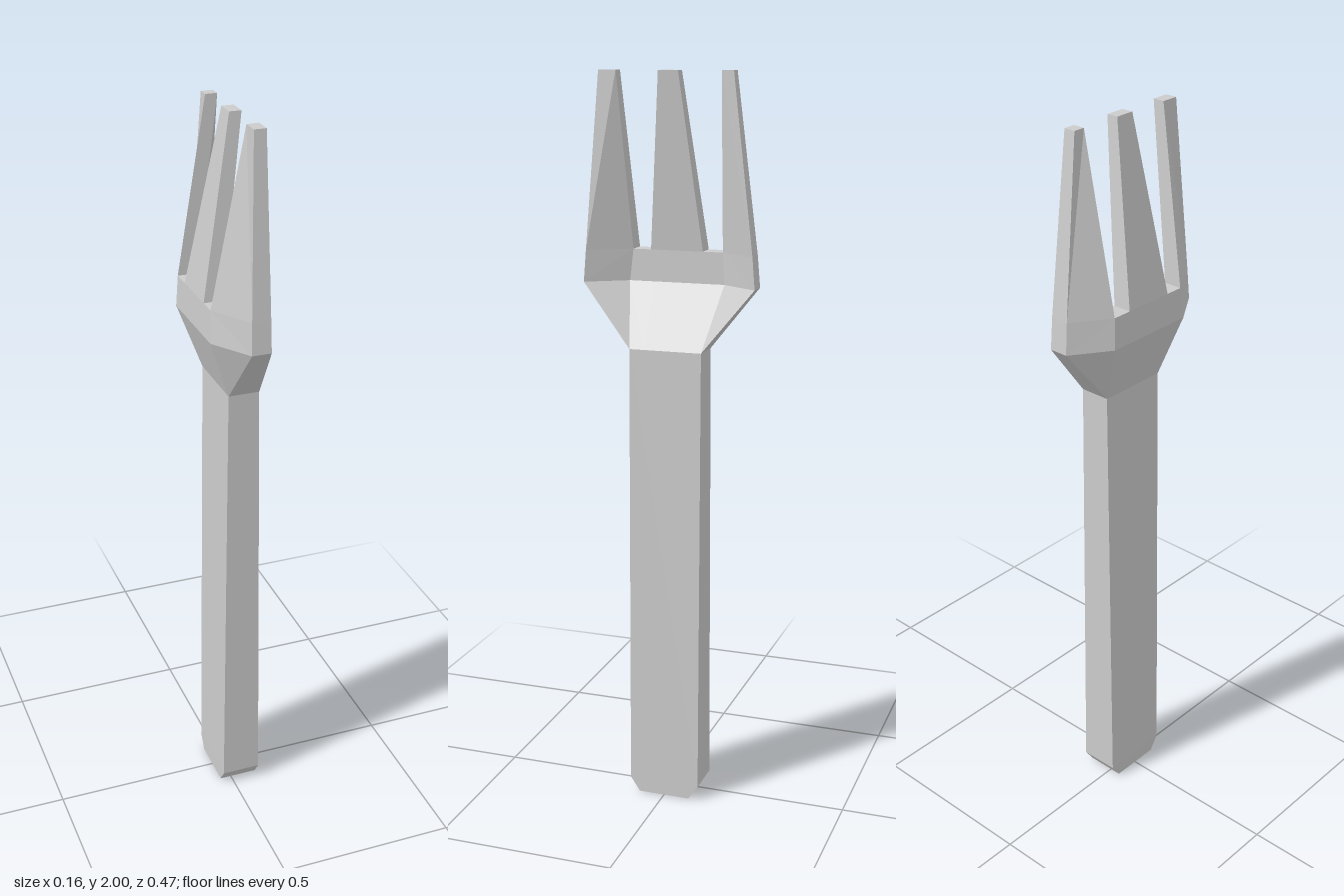
import * as THREE from 'three';

const material = new THREE.MeshStandardMaterial({ color: 0xcccccc, flatShading: true });

// A row is a cross-section: height y, columns z (from +z to -z), outer faces f (-x) and b (+x).
const row = (y, z, f, b) => z.map((zi, i) => ({
  f: [Array.isArray(f) ? f[i] : f, y, zi],
  b: [Array.isArray(b) ? b[i] : b, y, zi],
}));

// Skins the chosen columns between successive rows, closing only the sides asked for.
function skin(name, rows, cells, { walls = true, top = false, bottom = false } = {}) {
  const pos = [];
  const quad = (a, b, c, d) => pos.push(...a, ...b, ...c, ...a, ...c, ...d);
  const half = (rows[0].length - 1) / 2;
  for (const i of cells) {
    const j = i + 1;
    for (let r = 0; r < rows.length - 1; r++) {
      const lo = rows[r], up = rows[r + 1];
      for (const s of ['f', 'b']) {
        // Mirrored diagonals on the two halves
        let q = [lo[j][s], lo[i][s], up[i][s], up[j][s]];
        if (i + 0.5 < half) q = [q[1], q[2], q[3], q[0]];
        if (s === 'b') q = [q[0], q[3], q[2], q[1]];
        quad(...q);
      }
      if (walls === true || i === cells[0]) quad(lo[i].f, lo[i].b, up[i].b, up[i].f);
      if (walls === true || i === cells[cells.length - 1]) quad(lo[j].b, lo[j].f, up[j].f, up[j].b);
    }
    const t = rows[rows.length - 1], o = rows[0];
    if (top) quad(t[i].f, t[i].b, t[j].b, t[j].f);
    if (bottom) quad(o[j].f, o[j].b, o[i].b, o[i].f);
  }
  const geometry = new THREE.BufferGeometry();
  geometry.setAttribute('position', new THREE.Float32BufferAttribute(pos, 3));
  geometry.computeVertexNormals();
  const mesh = new THREE.Mesh(geometry, material);
  mesh.name = name;
  return mesh;
}

export function createModel() {
  const group = new THREE.Group();
  group.name = 'fork';

  // Tapered handle with chamfered lower corners
  group.add(skin('handle', [
    row(0, [0.073, -0.073], -0.032, 0.077),
    row(0.04, [0.1, -0.1], -0.032, 0.077),
    row(1.28, [0.1, -0.1], -0.02, 0.065),
  ], [0], { bottom: true, top: true }));

  // Cross-sections of the curved head, from neck to tine tips
  const neck = row(1.28, [0.1, 0.06, 0.03, -0.03, -0.06, -0.1], -0.02, 0.065);
  const shoulder = row(1.45, [0.237, 0.13, 0.058, -0.06, -0.135, -0.237],
    [-0.01, -0.08, -0.08, -0.08, -0.08, -0.01], [0.042, -0.025, -0.025, -0.025, -0.025, 0.042]);
  const notch = row(1.535, [0.23, 0.12, 0.07, -0.075, -0.13, -0.23],
    [-0.008, -0.076, -0.076, -0.076, -0.076, -0.008], [0.042, -0.025, -0.025, -0.025, -0.025, 0.042]);
  const tip = row(2, [0.19, 0.142, 0.027, -0.027, -0.143, -0.175], 0.007, 0.039);

  // Flaring palm up to the notch floors
  group.add(skin('head', [neck, shoulder, notch], [0, 1, 2, 3, 4], { walls: 'ends', top: true }));

  // Three tapering tines
  ['leftTine', 'middleTine', 'rightTine'].forEach((name, k) =>
    group.add(skin(name, [notch, tip], [k * 2], { top: true })));

  return group;
}
